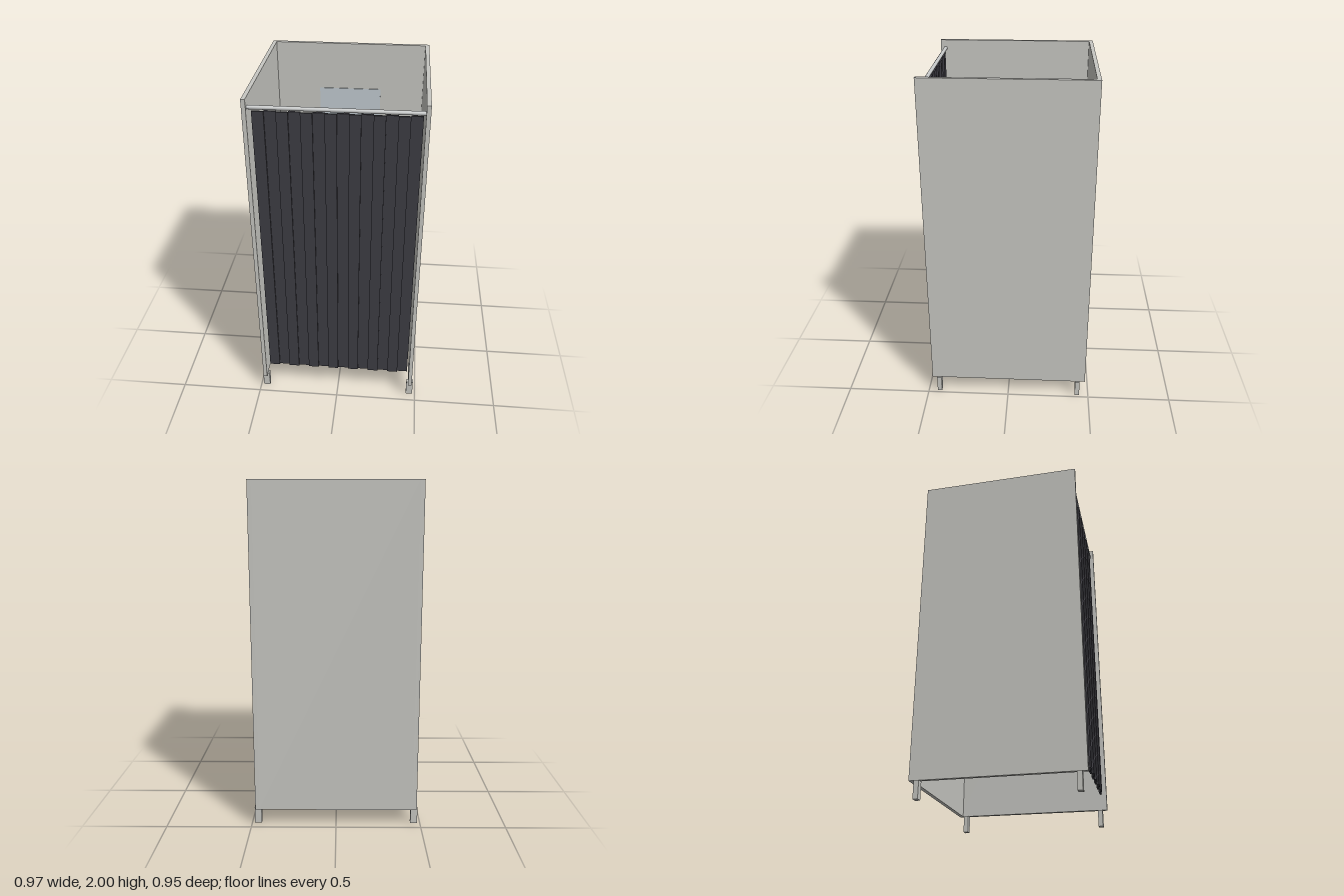
import * as THREE from 'three';

const mat = (name, color) => {
  const m = new THREE.MeshStandardMaterial({ color });
  m.name = name;
  return m;
};

export function createModel() {
  const panel = mat('panel grey', 0xc8c8c3);
  const wood = mat('bench wood', 0xb39167);
  const cloth = mat('curtain charcoal', 0x3e3d44);
  const steel = mat('steel', 0xc6c8c8);
  const glass = mat('mirror glass', 0xc3ccd2);

  const root = new THREE.Group();
  root.name = 'changingCubicle';

  // Box given by its minimum and maximum corners
  const box = (name, material, [x0, y0, z0], [x1, y1, z1], parent = root) => {
    const mesh = new THREE.Mesh(new THREE.BoxGeometry(x1 - x0, y1 - y0, z1 - z0), material);
    mesh.position.set((x0 + x1) / 2, (y0 + y1) / 2, (z0 + z1) / 2);
    mesh.name = name;
    parent.add(mesh);
    return mesh;
  };
  // Round bar lying along x
  const bar = (name, material, radius, x0, x1, y, z, parent = root) => {
    const geo = new THREE.CylinderGeometry(radius, radius, x1 - x0, 20).rotateZ(Math.PI / 2);
    const mesh = new THREE.Mesh(geo, material);
    mesh.position.set((x0 + x1) / 2, y, z);
    mesh.name = name;
    parent.add(mesh);
    return mesh;
  };

  // Walls: open at the front, no roof and no floor
  box('backWall', panel, [-0.453, 0.1, -0.477], [0.453, 2, -0.454]);
  box('rightWall', panel, [-0.476, 0.1, -0.477], [-0.453, 2, 0.474]);
  box('leftWall', panel, [0.453, 0.1, -0.477], [0.476, 2, 0.474]);

  // Feet under the four corners
  for (const side of [-1, 1]) {
    for (const end of [-1, 1]) {
      const foot = box('foot', panel, [-0.0205, 0, -0.014], [0.0205, 0.1, 0.014]);
      foot.position.x = side * 0.4635;
      foot.position.z = end * 0.431;
    }
  }

  // Bench across the back
  box('benchSeat', wood, [-0.453, 0.432, -0.454], [0.453, 0.46, -0.122]);

  // Mirror on the back wall
  box('mirror', glass, [-0.19, 1.1, -0.454], [0.19, 1.715, -0.449]);

  // Coat hooks on the right wall
  for (const z of [0.008, 0.246]) {
    const hook = new THREE.Group();
    hook.name = 'coatHook';
    box('hookPlate', steel, [-0.453, 1.58, z - 0.01], [-0.447, 1.62, z + 0.01], hook);
    bar('hookPeg', steel, 0.004, -0.447, -0.39, 1.6, z, hook);
    root.add(hook);
  }

  // Curtain rail between the side walls
  bar('curtainRail', steel, 0.011, -0.453, 0.453, 1.948, 0.445);

  // Pleated curtain: strips stepping alternately forward and back
  const curtain = new THREE.Group();
  curtain.name = 'curtain';
  const strips = 14, left = -0.43, width = 0.872 / strips;
  for (let i = 0; i < strips; i++) {
    const x = left + i * width;
    const z = 0.445 + (i % 2 ? -0.005 : 0.005);
    box('curtainPleat', cloth, [x, 0.195, z - 0.0055], [x + width, 1.93, z + 0.0055], curtain);
  }
  root.add(curtain);

  return root;
}
